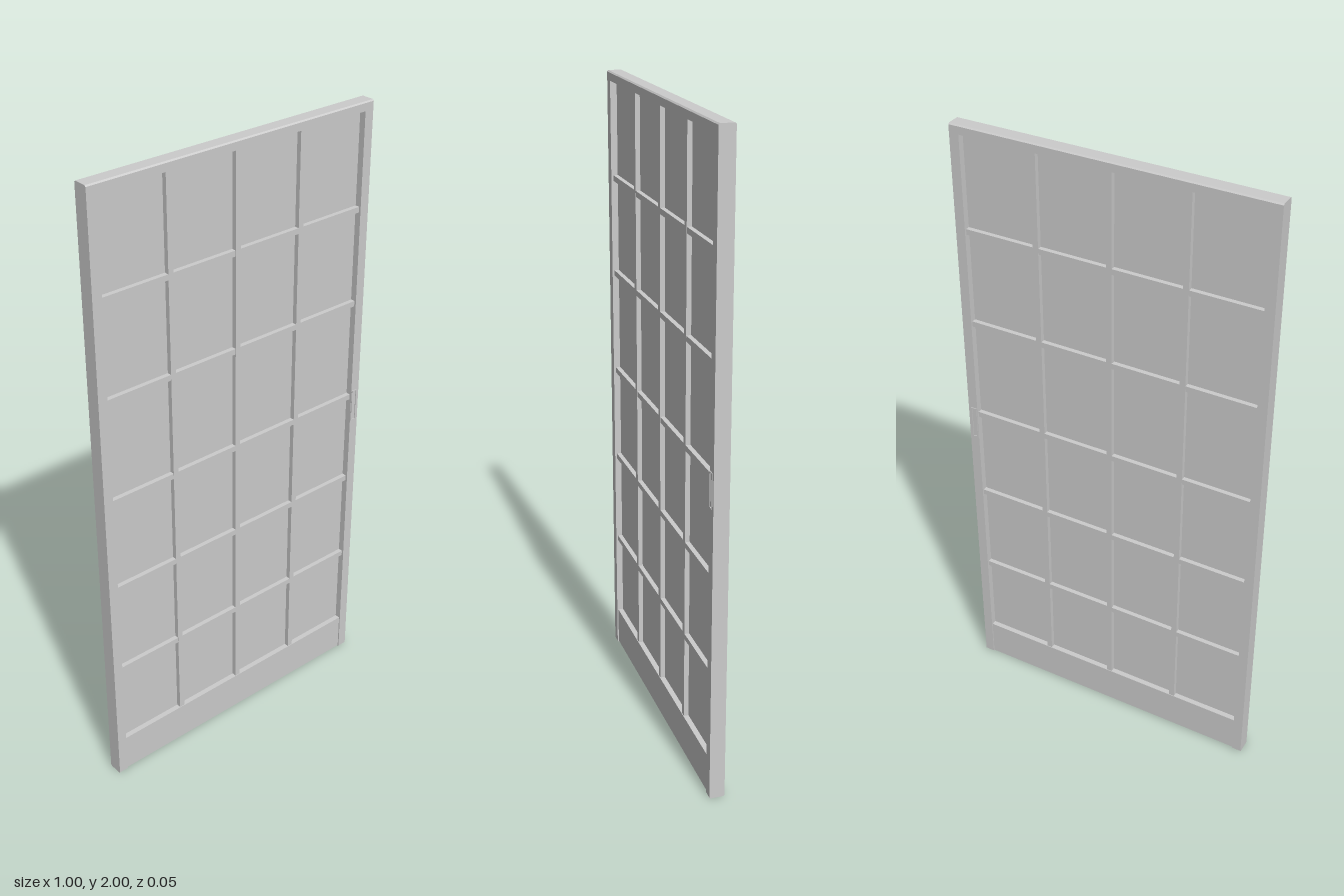
import * as THREE from 'three';

const grey = new THREE.MeshStandardMaterial({ color: 0xcccccc, flatShading: true });
const DEPTH = 0.024;   // half thickness of the frame
const OPEN_X = 0.469;  // half width of the opening
const OPEN_BOTTOM = 0.13;
const OPEN_TOP = 1.972;

function box(name, x0, x1, y0, y1, halfDepth) {
  const mesh = new THREE.Mesh(new THREE.BoxGeometry(x1 - x0, y1 - y0, halfDepth * 2), grey);
  mesh.position.set((x0 + x1) / 2, (y0 + y1) / 2, 0);
  mesh.name = name;
  return mesh;
}

// Frame member running along x, its depth/height profile chamfered at top and/or bottom
function member(name, x0, x1, y0, y1, chamferBottom, chamferTop) {
  const c = 0.004, b = chamferBottom ? c : 0, t = chamferTop ? c : 0;
  const points = [];
  const add = (z, y) => points.push(new THREE.Vector2(-z, y));
  add(DEPTH - b, y0);
  if (b) add(DEPTH, y0 + b);
  add(DEPTH, y1 - t);
  if (t) add(DEPTH - t, y1);
  add(-DEPTH + t, y1);
  if (t) add(-DEPTH, y1 - t);
  add(-DEPTH, y0 + b);
  if (b) add(-DEPTH + b, y0);
  const geometry = new THREE.ExtrudeGeometry(new THREE.Shape(points), { depth: x1 - x0, bevelEnabled: false });
  geometry.rotateY(Math.PI / 2);
  geometry.translate(x0, 0, 0);
  const mesh = new THREE.Mesh(geometry, grey);
  mesh.name = name;
  return mesh;
}

// Thin rectangular rim of the finger pull
function pullRim() {
  const rect = (path, w, h) => path.moveTo(-w, -h).lineTo(w, -h).lineTo(w, h).lineTo(-w, h).closePath();
  const shape = new THREE.Shape();
  rect(shape, 0.01, 0.055);
  const hole = new THREE.Path();
  rect(hole, 0.0065, 0.0515);
  shape.holes.push(hole);
  return new THREE.ExtrudeGeometry(shape, { depth: 0.0025, bevelEnabled: false });
}

export function createModel() {
  const door = new THREE.Group();
  door.name = 'latticeDoor';

  // Outer frame
  door.add(member('rightStile', -0.5, -OPEN_X, 0, 2, true, true));
  door.add(member('leftStile', OPEN_X, 0.5, 0, 2, true, true));
  door.add(member('topRail', -OPEN_X, OPEN_X, OPEN_TOP, 2, false, true));

  // Kick board, set slightly back from the stiles
  door.add(box('kickBoard', -OPEN_X, OPEN_X, 0.004, OPEN_BOTTOM, 0.02));

  // Thin pane behind the lattice
  door.add(box('pane', -OPEN_X, OPEN_X, OPEN_BOTTOM, OPEN_TOP, 0.003));

  // Lattice bars, standing out on both faces
  const lattice = new THREE.Group();
  lattice.name = 'lattice';
  for (const x of [-0.237, 0, 0.236]) {
    lattice.add(box('verticalBar', x - 0.009, x + 0.009, OPEN_BOTTOM, OPEN_TOP, 0.018));
  }
  for (const y of [0.412, 0.721, 1.031, 1.362, 1.671]) {
    lattice.add(box('horizontalBar', -OPEN_X, OPEN_X, y - 0.009, y + 0.009, 0.0175));
  }
  door.add(lattice);

  // Finger pull on each face
  for (const side of [1, -1]) {
    const pull = new THREE.Mesh(pullRim(), grey);
    pull.name = side > 0 ? 'frontPull' : 'backPull';
    pull.position.set(0.481, 1, side * DEPTH);
    if (side < 0) pull.rotation.y = Math.PI;
    door.add(pull);
  }
  return door;
}
